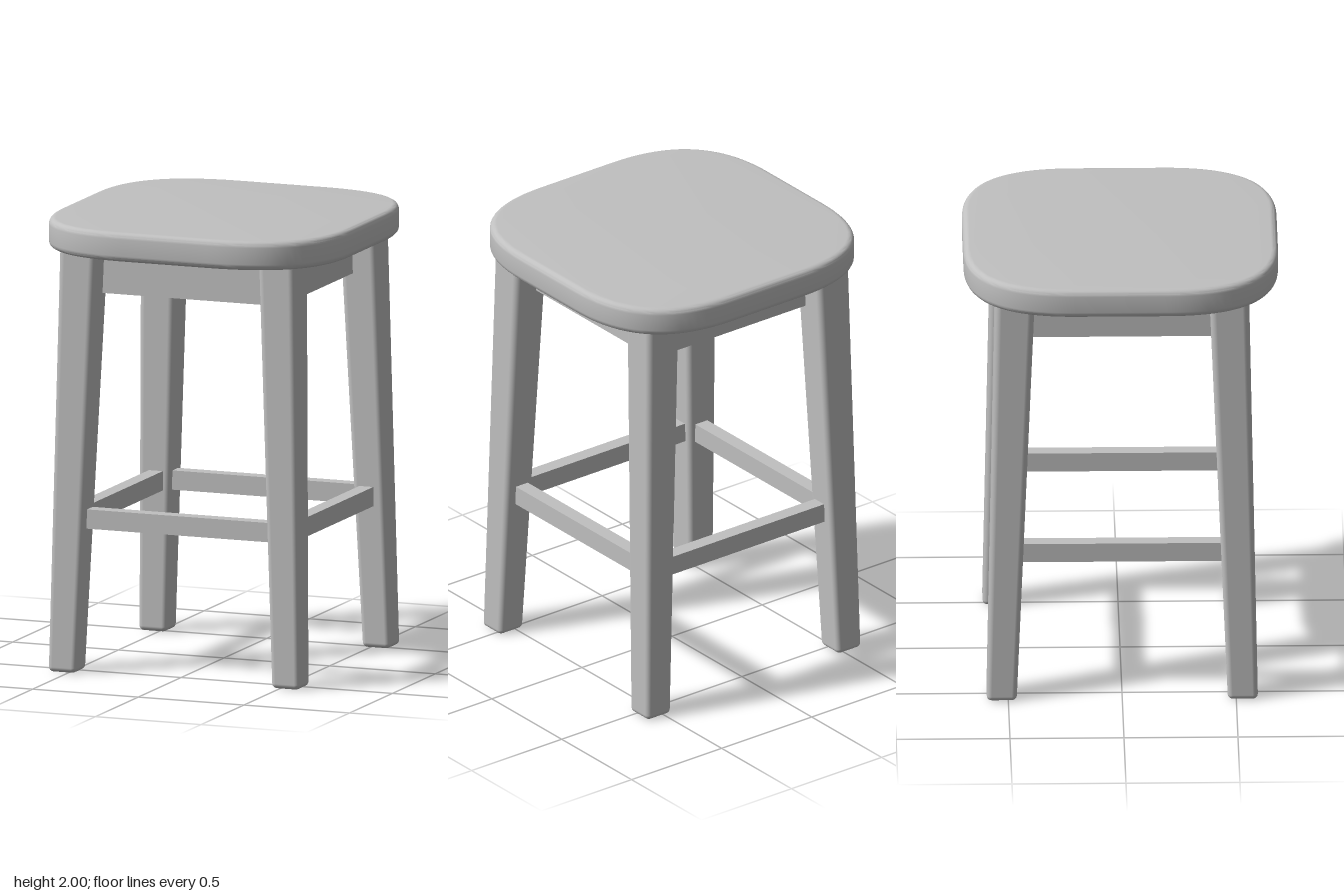
import * as THREE from 'three';
import { toCreasedNormals } from 'three/addons/utils/BufferGeometryUtils.js';
import { RoundedBoxGeometry } from 'three/addons/geometries/RoundedBoxGeometry.js';

const HALF = 0.69;   // half width of the seat
const FLAT = 0.2;    // half length of the straight part of each seat edge
const SEAT_BOTTOM = 1.87;

// Rounded square slab with softened edges
function seatGeometry() {
  const s = new THREE.Shape();
  s.moveTo(HALF, -FLAT);
  s.lineTo(HALF, FLAT);
  s.quadraticCurveTo(HALF, HALF, FLAT, HALF);
  s.lineTo(-FLAT, HALF);
  s.quadraticCurveTo(-HALF, HALF, -HALF, FLAT);
  s.lineTo(-HALF, -FLAT);
  s.quadraticCurveTo(-HALF, -HALF, -FLAT, -HALF);
  s.lineTo(FLAT, -HALF);
  s.quadraticCurveTo(HALF, -HALF, HALF, -FLAT);
  const bevel = 0.028;
  const geo = new THREE.ExtrudeGeometry(s, {
    depth: 2 - SEAT_BOTTOM - 2 * bevel, curveSegments: 20,
    bevelSize: bevel, bevelThickness: bevel, bevelOffset: -bevel, bevelSegments: 5,
  });
  geo.rotateX(-Math.PI / 2);
  geo.translate(0, SEAT_BOTTOM + bevel, 0);
  return toCreasedNormals(geo, 0.6);
}

// Leg for the +x +z corner: widens upward and leans inward
function legGeometry() {
  const height = 1.91, width = 0.13;
  const geo = new RoundedBoxGeometry(width, height, width, 4, 0.022);
  geo.translate(0, height / 2, 0);
  const p = geo.attributes.position;
  for (let i = 0; i < p.count; i++) {
    const t = p.getY(i) / SEAT_BOTTOM;
    const outer = THREE.MathUtils.lerp(0.595, 0.558, t);
    const inner = THREE.MathUtils.lerp(0.463, 0.384, t);
    const place = (v) => THREE.MathUtils.lerp(inner, outer, v / width + 0.5);
    p.setXYZ(i, place(p.getX(i)), p.getY(i), place(p.getZ(i)));
  }
  return geo;
}

export function createModel() {
  const model = new THREE.Group();
  model.name = 'stool';
  const grey = new THREE.MeshStandardMaterial({ color: 0xc0c0c0 });
  grey.name = 'light grey';

  const add = (name, geo) => {
    const mesh = new THREE.Mesh(geo, grey);
    mesh.name = name;
    model.add(mesh);
    return mesh;
  };

  add('seat', seatGeometry());

  // Four legs and the rails between them, one set per side
  const leg = legGeometry();
  const apron = new THREE.BoxGeometry(0.86, 0.2, 0.055).translate(0, 1.78, 0.423);
  const stretcher = new THREE.BoxGeometry(0.96, 0.086, 0.066).translate(0, 0.682, 0.498);
  ['front', 'left', 'back', 'right'].forEach((side, i) => {
    const turn = i * Math.PI / 2;
    add(side + 'Leg', leg).rotation.y = turn;
    add(side + 'Apron', apron).rotation.y = turn;
    add(side + 'Stretcher', stretcher).rotation.y = turn;
  });

  return model;
}
